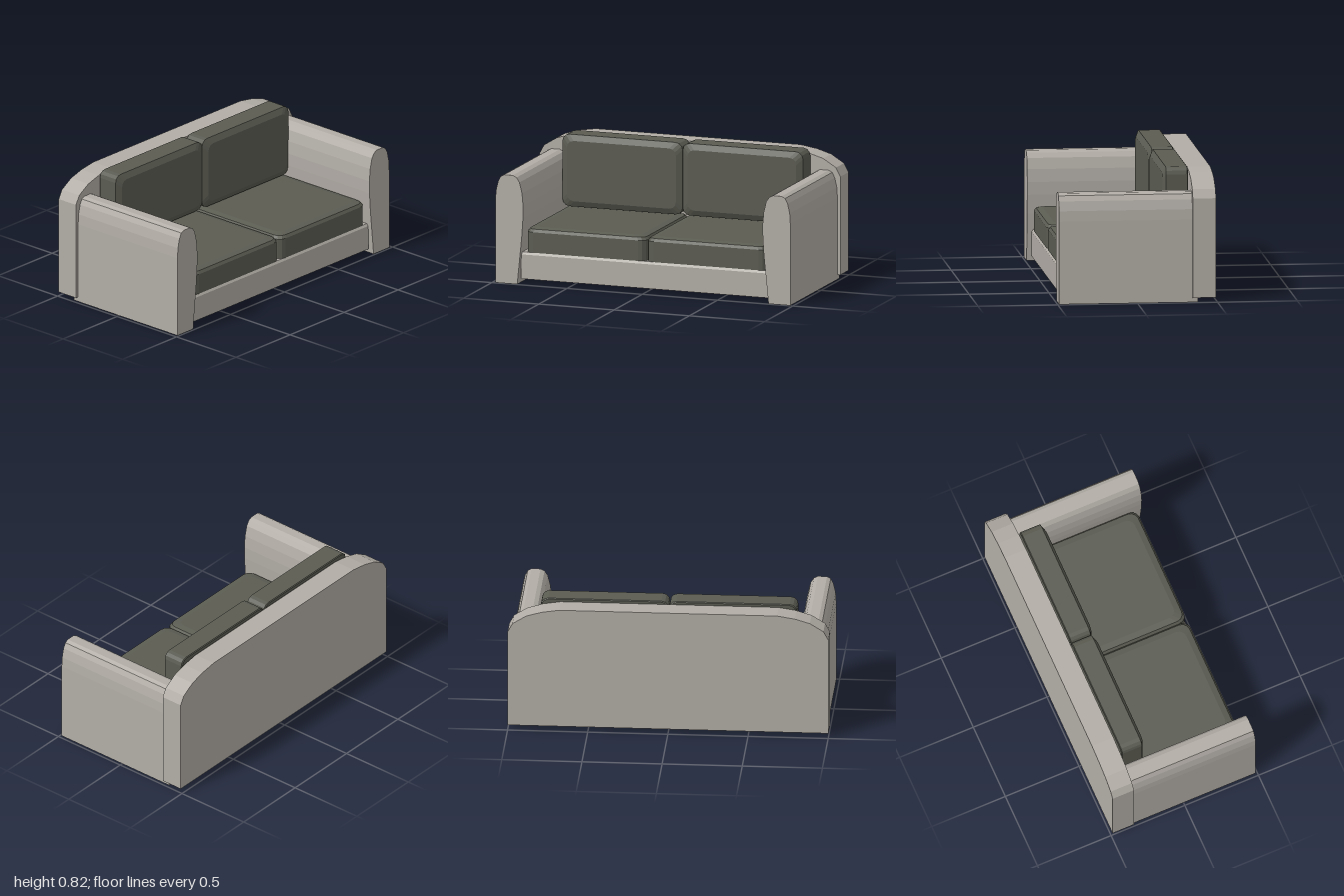
import * as THREE from 'three';

const fabric = new THREE.MeshStandardMaterial({ color: 0xb2ada6 });
fabric.name = 'light fabric';
const cushionFabric = new THREE.MeshStandardMaterial({ color: 0x5b5c52 });
cushionFabric.name = 'dark cushion fabric';

function part(name, geometry, material) {
  const mesh = new THREE.Mesh(geometry, material);
  mesh.name = name;
  return mesh;
}

// Extrudes a [z, y] profile along x from x0 to x1
function extrudeAlongX(points, x0, x1) {
  const shape = new THREE.Shape(points.map(([z, y]) => new THREE.Vector2(-z, y)));
  const g = new THREE.ExtrudeGeometry(shape, { depth: x1 - x0, bevelEnabled: false });
  return g.rotateY(Math.PI / 2).translate(x0, 0, 0);
}

// Rounded-rectangle pad: layers are [height along local z, inset]
function padGeometry(w, h, radius, layers) {
  const steps = 3, ring = 4 * (steps + 1), pos = [], idx = [];
  for (const [z, inset] of layers) {
    for (let c = 0; c < 4; c++) {
      const sx = c === 0 || c === 3 ? 1 : -1, sy = c < 2 ? 1 : -1;
      for (let s = 0; s <= steps; s++) {
        const a = (c + s / steps) * Math.PI / 2;
        const r = radius;
        pos.push(sx * (w / 2 - inset - r) + r * Math.cos(a),
          sy * (h / 2 - inset - r) + r * Math.sin(a), z);
      }
    }
  }
  const top = (layers.length - 1) * ring;
  for (let i = 0; i < ring; i++) {
    const j = (i + 1) % ring;
    for (let l = 0; l < top; l += ring) {
      idx.push(l + i, l + j, l + ring + j, l + i, l + ring + j, l + ring + i);
    }
    if (i > 0 && i < ring - 1) idx.push(0, i + 1, i, top, top + i, top + i + 1);
  }
  const g = new THREE.BufferGeometry();
  g.setAttribute('position', new THREE.Float32BufferAttribute(pos, 3));
  g.setIndex(idx);
  const flat = g.toNonIndexed();
  flat.computeVertexNormals();
  return flat;
}

export function createModel() {
  const sofa = new THREE.Group();
  sofa.name = 'sofa';

  // Backrest panel with rounded shoulders
  const shoulder = [[1, 0.03], [1, 0.655], [0.97, 0.71], [0.885, 0.762], [0.79, 0.79], [0.68, 0.807]];
  const backProfile = [...shoulder, ...shoulder.map(([z, y]) => [-z, y]).reverse()];
  sofa.add(part('backrest', extrudeAlongX(backProfile, -0.49, -0.345), fabric));

  // Base with a small bevel along its front top edge
  const baseSide = new THREE.Shape([[-0.35, 0.03], [0.46, 0.03], [0.46, 0.185], [0.45, 0.2], [-0.35, 0.2]]
    .map(([x, y]) => new THREE.Vector2(x, y)));
  const base = new THREE.ExtrudeGeometry(baseSide, { depth: 1.64, bevelEnabled: false });
  sofa.add(part('base', base.translate(0, 0, -0.82), fabric));

  // Armrests: straight outside, bulging inside
  const armProfile = [[0.98, 0], [0.98, 0.52], [0.976, 0.585], [0.962, 0.645], [0.945, 0.678], [0.922, 0.69],
    [0.865, 0.69], [0.84, 0.678], [0.82, 0.648], [0.803, 0.58], [0.796, 0.5], [0.797, 0.42], [0.805, 0.3], [0.835, 0]];
  for (const side of [1, -1]) {
    const profile = armProfile.map(([z, y]) => [side * z, y]);
    sofa.add(part(side > 0 ? 'armrestNear' : 'armrestFar', extrudeAlongX(profile, -0.38, 0.49), fabric));
  }

  // Two seat cushions and two back cushions
  for (const z of [-0.406, 0.394]) {
    const seat = padGeometry(0.79, 0.798, 0.05, [[0.2, 0], [0.33, 0], [0.348, 0.012], [0.356, 0.05]]);
    seat.rotateX(-Math.PI / 2).translate(0.06, 0, z);
    sofa.add(part('seatCushion', seat, cushionFabric));

    const back = padGeometry(0.798, 0.458, 0.045, [[-0.337, 0.005], [-0.332, 0], [-0.2, 0], [-0.18, 0.037]]);
    back.rotateY(Math.PI / 2).translate(0, 0.595, z);
    sofa.add(part('backCushion', back, cushionFabric));
  }
  return sofa;
}
